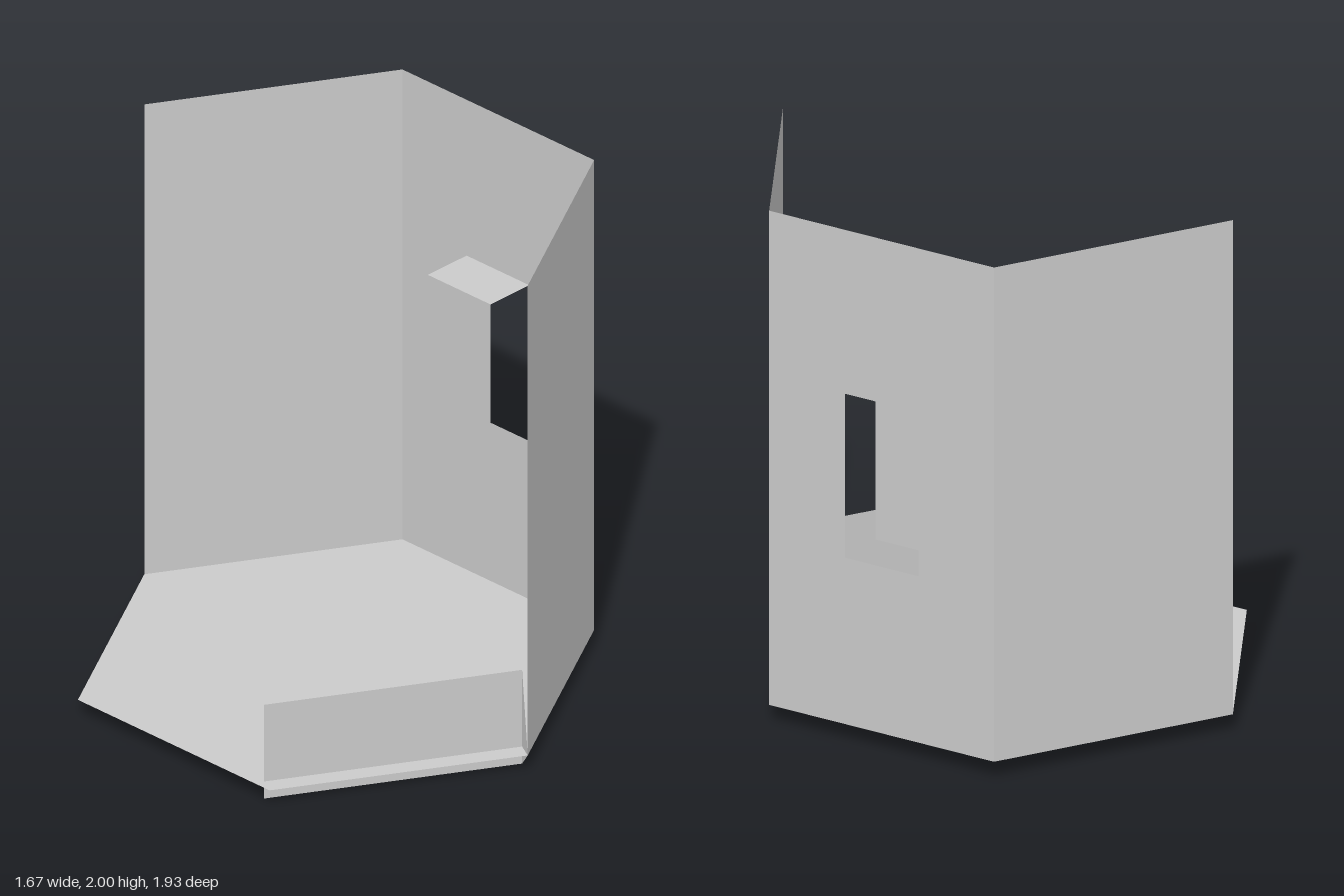
import * as THREE from 'three';

const R = 0.964, FLOOR_Y = 0.07, TOP_Y = 2;
const material = new THREE.MeshStandardMaterial({
  color: 0xcccccc, flatShading: true, side: THREE.DoubleSide,
});

// Corner k of the hexagon as [x, z]; corner 0 is at the back, going round towards +x
const corner = (k) => [R * Math.sin(k * Math.PI / 3), -R * Math.cos(k * Math.PI / 3)];

function rect(PathType, x0, x1, y0, y1) {
  return new PathType([[x0, y0], [x1, y0], [x1, y1], [x0, y1]].map(([x, y]) => new THREE.Vector2(x, y)));
}

function addMesh(parent, name, geometry) {
  const mesh = new THREE.Mesh(geometry, material);
  mesh.name = name;
  parent.add(mesh);
  return mesh;
}

// Upright sheet running from point a to point b on the plan, with an optional hole
function addSheet(parent, name, a, b, y0, y1, hole) {
  const dx = b[0] - a[0], dz = b[1] - a[1];
  const shape = rect(THREE.Shape, 0, Math.hypot(dx, dz), y0, y1);
  if (hole) shape.holes.push(hole);
  const mesh = addMesh(parent, name, new THREE.ShapeGeometry(shape));
  mesh.position.set(a[0], 0, a[1]);
  mesh.rotation.y = Math.atan2(-dz, dx);
  return mesh;
}

export function createModel() {
  const group = new THREE.Group();
  group.name = 'hexagonalRoom';

  // Hexagonal floor
  const outline = [0, 1, 2, 3, 4, 5].map((k) => new THREE.Vector2(corner(k)[0], -corner(k)[1]));
  const floor = addMesh(group, 'floor', new THREE.ShapeGeometry(new THREE.Shape(outline)));
  floor.rotation.x = -Math.PI / 2;
  floor.position.y = FLOOR_Y;

  // Three thin walls; the other three sides are open
  addSheet(group, 'backRightWall', corner(5), corner(0), FLOOR_Y, TOP_Y);
  addSheet(group, 'leftWall', corner(1), corner(2), FLOOR_Y, TOP_Y);
  const [x0, x1, y0, y1, depth] = [0.323, 0.638, 0.72, 1.36, 0.2];
  const windowWall = addSheet(group, 'windowWall', corner(0), corner(1), FLOOR_Y, TOP_Y,
    rect(THREE.Path, x0, x1, y0, y1));

  // Window hood: inner panel and top, open at the sides
  const panel = addMesh(windowWall, 'windowPanel', new THREE.PlaneGeometry(x1 - x0, y1 - y0));
  panel.position.set((x0 + x1) / 2, (y0 + y1) / 2, depth);
  const hood = addMesh(windowWall, 'windowTop', new THREE.PlaneGeometry(x1 - x0, depth));
  hood.rotation.x = -Math.PI / 2;
  hood.position.set((x0 + x1) / 2, y1, depth / 2);

  // Low front barrier, set just inside the open edge
  const near = [-0.036, 0.905], far = [0.799, 0.423];
  addSheet(group, 'frontBarrier', near, far, 0, 0.385);

  // Small triangle joining the barrier to the wall corner
  const [cx, cz] = corner(2);
  const gusset = new THREE.BufferGeometry().setFromPoints([
    new THREE.Vector3(far[0], 0, far[1]),
    new THREE.Vector3(cx, FLOOR_Y, cz),
    new THREE.Vector3(far[0], 0.385, far[1]),
  ]);
  gusset.computeVertexNormals();
  addMesh(group, 'barrierGusset', gusset);

  return group;
}
